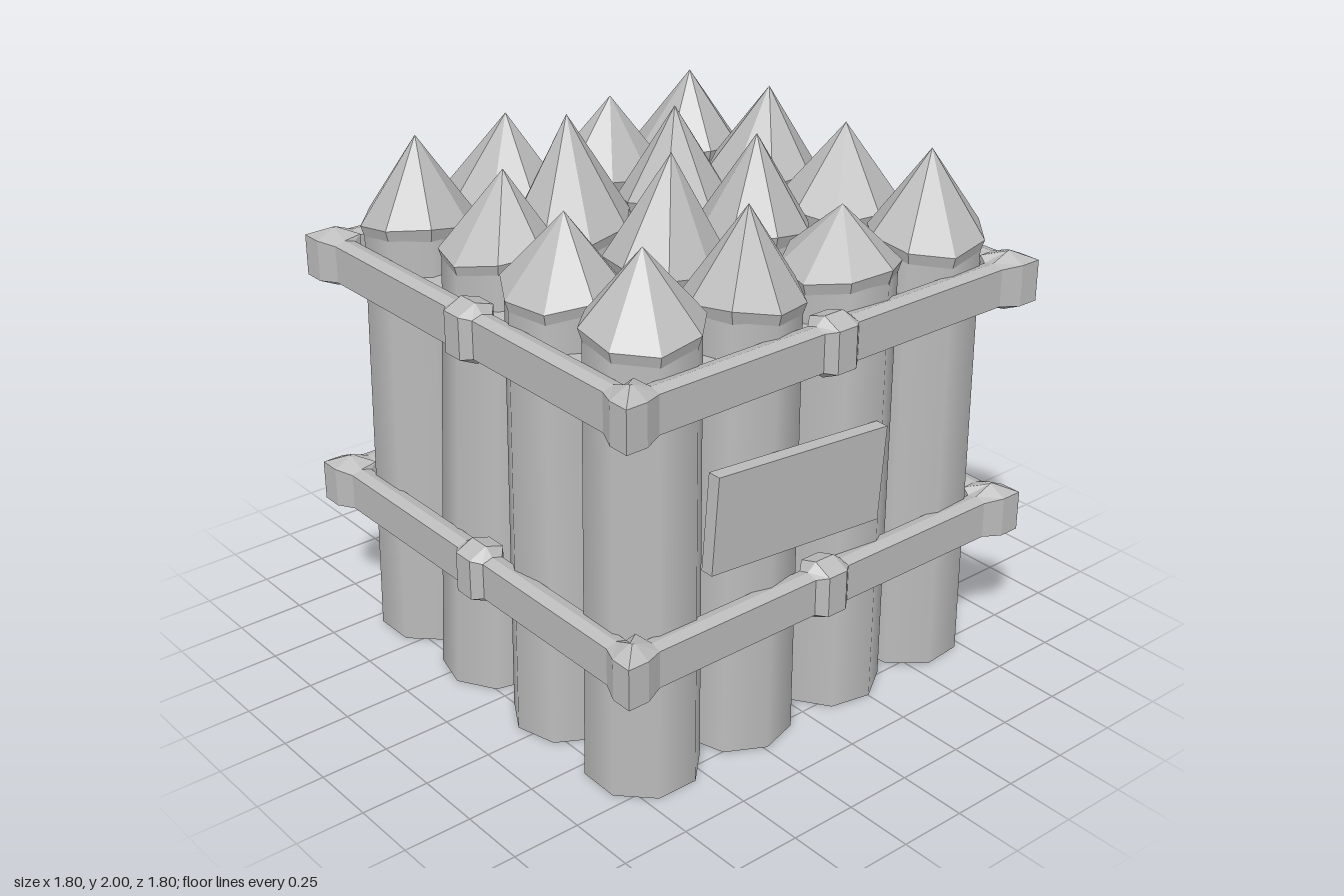
import * as THREE from 'three';

const STONE = new THREE.MeshStandardMaterial({ color: 0xbcbcbc, side: THREE.DoubleSide });
STONE.name = 'plain grey';

// Post tops, back row to front row: centre x, z, tip x, z, tip height
const POSTS = [
  [[-.62, -.62, -.61, -.62, 1.90], [-.21, -.63, -.20, -.65, 1.93], [.21, -.62, .23, -.62, 1.91], [.63, -.62, .63, -.63, 1.92]],
  [[-.61, -.22, -.60, -.23, 1.88], [-.22, -.22, -.22, -.22, 1.94], [.19, -.23, .21, -.22, 1.95], [.63, -.22, .63, -.22, 1.82]],
  [[-.63, .23, -.61, .23, 1.91], [-.23, .23, -.24, .24, 2.00], [.23, .20, .24, .18, 1.98], [.62, .20, .63, .19, 1.92]],
  [[-.61, .61, -.61, .61, 1.91], [-.20, .56, -.21, .53, 1.88], [.21, .61, .23, .61, 1.88], [.62, .61, .62, .61, 1.88]],
];
const GRID = [-.625, -.215, .215, .625];
const RIM = 1.62;

function mesh(geometry, name) {
  const m = new THREE.Mesh(geometry, STONE);
  m.name = name;
  return m;
}

// Moves every vertex by a rule
function bend(geometry, rule) {
  const p = geometry.attributes.position, v = new THREE.Vector3();
  for (let i = 0; i < p.count; i++) {
    v.fromBufferAttribute(p, i);
    rule(v);
    p.setXYZ(i, v.x, v.y, v.z);
  }
  return geometry;
}

function flat(geometry) {
  const g = geometry.toNonIndexed();
  g.computeVertexNormals();
  return g;
}

// Hollow eight-sided post, leaning slightly, with a faceted point
function makePost([cx, cz, tx, tz, top], bx, bz, seed) {
  const post = new THREE.Group();
  post.name = 'post';

  const shaft = new THREE.CylinderGeometry(.194, .203, 1.59, 8, 1, true);
  shaft.rotateY(seed * 1.3);
  shaft.translate(0, .795, 0);
  bend(shaft, v => {
    const k = v.y / RIM;
    v.x += bx + (cx - bx) * k;
    v.z += bz + (cz - bz) * k;
  });

  const profile = [[.185, 1.55], [.207, RIM], [0, top]].map(p => new THREE.Vector2(...p));
  const point = new THREE.LatheGeometry(profile, 8);
  point.rotateY(seed * 1.3);
  bend(point, v => {
    const k = Math.max(0, (v.y - RIM) / (top - RIM));
    if (k < .5) v.y += .02 * Math.sin(2 * Math.atan2(v.z, v.x) + seed);
    v.x += cx + (tx - cx) * k;
    v.z += cz + (tz - cz) * k;
  });

  post.add(mesh(shaft, 'postShaft'), mesh(flat(point), 'postPoint'));
  return post;
}

// Square frame swept around the posts, swelling at corners and mid-sides
function makeBand(y) {
  const C = .83;
  const thin = [[.04, .068], [0, .08], [-.04, .068], [-.04, -.068], [0, -.08], [.04, -.068]];
  const thick = [[.07, .075], [0, .108], [-.07, .085], [-.07, -.085], [0, -.108], [.07, -.075]];
  const stations = [[-1, thick], [-.82, thick], [-.75, thin], [-.075, thin], [-.04, thick],
    [.04, thick], [.075, thin], [.75, thin], [.82, thick]];
  const pos = [], idx = [], n = 6, total = stations.length * 4;
  for (let side = 0; side < 4; side++) {
    const a = side * Math.PI / 2, c = Math.cos(a), s = Math.sin(a);
    for (const [t, section] of stations) {
      for (const [o, h] of section) {
        const limit = C + o;
        const along = Math.max(-limit, Math.min(limit, t));
        pos.push(along * c + limit * s, y + h, -along * s + limit * c);
      }
    }
  }
  for (let i = 0; i < total; i++) {
    for (let j = 0; j < n; j++) {
      const a = i * n + j, b = i * n + (j + 1) % n;
      const d = ((i + 1) % total) * n + j, e = ((i + 1) % total) * n + (j + 1) % n;
      idx.push(a, d, b, b, d, e);
    }
  }
  const g = new THREE.BufferGeometry();
  g.setAttribute('position', new THREE.Float32BufferAttribute(pos, 3));
  g.setIndex(idx);
  return mesh(flat(g), 'band');
}

export function createModel() {
  const model = new THREE.Group();
  model.name = 'palisadeBlock';

  POSTS.forEach((row, r) => row.forEach((p, c) => {
    model.add(makePost(p, GRID[c], GRID[r], r * 4 + c + 1));
  }));

  model.add(makeBand(.555), makeBand(1.455));

  // Deck filling the gaps between the posts
  const deck = mesh(new THREE.BoxGeometry(1.46, .02, 1.46), 'deck');
  deck.position.y = 1.45;
  model.add(deck);

  // Crooked sign board on the side
  const sign = mesh(new THREE.BoxGeometry(.05, .345, .742), 'signBoard');
  sign.position.set(.847, .96, .155);
  sign.rotation.x = -.078;
  model.add(sign);

  return model;
}
